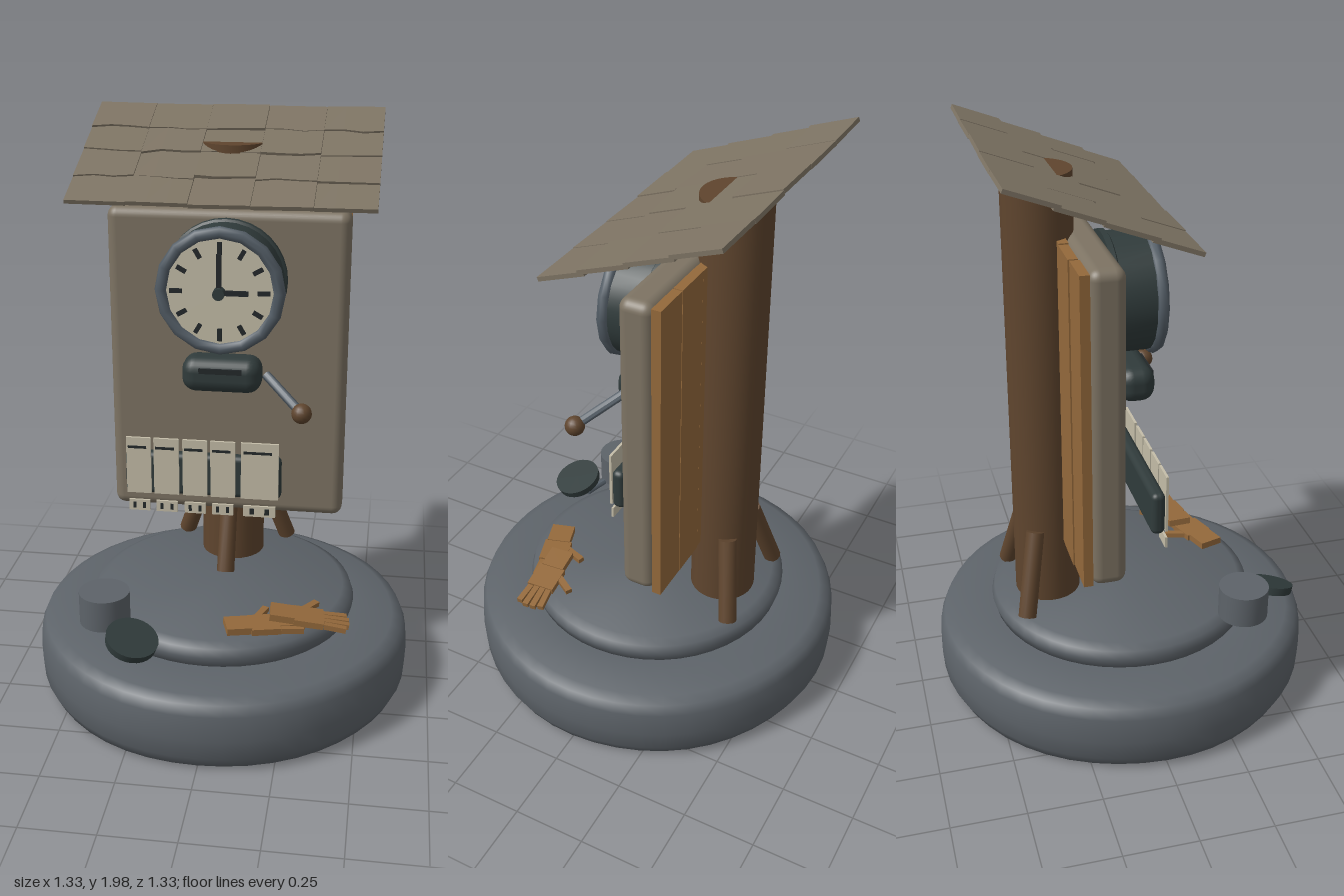
import * as THREE from 'three';
import { RoundedBoxGeometry } from 'three/addons/geometries/RoundedBoxGeometry.js';
import { toCreasedNormals } from 'three/addons/utils/BufferGeometryUtils.js';

const paint = (name, color) => Object.assign(new THREE.MeshStandardMaterial({ color }), { name });
const V = (x, y, z) => new THREE.Vector3(x, y, z);

export function createModel() {
  const slate = paint('slate grey', 0x5d6369);
  const stone = paint('weathered board', 0x7d7363);
  const timber = paint('dark timber', 0x5f452e);
  const plank = paint('light timber', 0x94693b);
  const iron = paint('dark iron', 0x303b3b);
  const rim = paint('rim steel', 0x535d66);
  const cream = paint('cream', 0xc4bda8);
  const ink = paint('ink', 0x23282a);

  const model = new THREE.Group();
  model.name = 'clockStand';
  const add = (name, geo, mat, x = 0, y = 0, z = 0, parent = model) => {
    const m = new THREE.Mesh(geo, mat);
    m.name = name;
    m.position.set(x, y, z);
    parent.add(m);
    return m;
  };
  const box = (w, h, d) => new THREE.BoxGeometry(w, h, d);
  const rod = (name, a, b, r, mat, sides = 12) => {
    const m = add(name, toCreasedNormals(new THREE.CylinderGeometry(r, r, a.distanceTo(b), sides), 0.9), mat);
    m.position.copy(a).add(b).multiplyScalar(0.5);
    m.quaternion.setFromUnitVectors(V(0, 1, 0), b.clone().sub(a).normalize());
    return m;
  };
  let seed = 7;
  const rand = () => (seed = (seed * 16807) % 2147483647) / 2147483647 - 0.5;

  // Two soft-edged round stones, slightly uneven
  const disc = (name, pts, wobble) => {
    const geo = new THREE.LatheGeometry(pts.map(p => new THREE.Vector2(...p)), 48);
    const p = geo.attributes.position;
    for (let i = 0; i < p.count; i++) {
      const a = Math.atan2(p.getZ(i), p.getX(i));
      const k = 1 + wobble * (Math.sin(3 * a + 1) + 0.6 * Math.sin(7 * a));
      p.setX(i, p.getX(i) * k);
      p.setZ(i, p.getZ(i) * k);
    }
    geo.computeVertexNormals();
    return add(name, toCreasedNormals(geo, 0.9), slate);
  };
  disc('base', [[0, 0.01], [0.6, 0.01], [0.64, 0.02], [0.66, 0.06], [0.665, 0.13], [0.66, 0.22],
    [0.645, 0.255], [0.61, 0.27], [0.47, 0.278], [0, 0.278]], 0.003);
  disc('step', [[0, 0.27], [0.43, 0.27], [0.46, 0.285], [0.47, 0.32], [0.46, 0.35], [0.43, 0.365], [0, 0.365]], 0.001);

  // Post with three braces
  rod('post', V(0, 0.36, -0.27), V(0, 1.9, -0.27), 0.115, timber, 32);
  for (let i = 0; i < 3; i++) {
    const a = i * Math.PI * 2 / 3;
    const at = (r, y) => V(Math.sin(a) * r, y, -0.27 + Math.cos(a) * r);
    rod('brace', at(0.225, 0.37), at(0.115, 0.65), 0.032, timber);
  }

  // Board with planks behind it
  add('board', new RoundedBoxGeometry(0.825, 1.1, 0.117, 4, 0.035), stone, 0, 1.15, -0.139);
  for (let i = 0; i < 6; i++) {
    add('backPlank', box(0.134, 1.09 + rand() * 0.015, 0.032), plank, -0.342 + i * 0.137, 1.15, -0.214 + rand() * 0.006);
  }

  // Shingled sloping roof
  const roof = new THREE.Group();
  roof.name = 'roof';
  roof.position.set(0, 1.87, -0.167);
  roof.rotation.x = Math.atan2(0.235, 0.575);
  model.add(roof);
  for (let r = 0; r < 4; r++) for (let c = 0; c < 5; c++) {
    const geo = new THREE.BoxGeometry(0.199, 0.014, 0.165, 3, 1, 1);
    const p = geo.attributes.position;
    const ragged = [0, 1, 2, 3].map(() => rand() * 0.022);
    for (let i = 0; i < p.count; i++) {
      const k = Math.round((p.getX(i) / 0.199 + 0.5) * 3);
      if (p.getZ(i) > 0 && r < 3) p.setZ(i, p.getZ(i) + ragged[k]);
    }
    geo.computeVertexNormals();
    const t = add('shingle', geo, stone, (c - 2) * 0.2, rand() * 0.004, (r - 1.5) * 0.153, roof);
    t.rotation.set(-0.035, 0, rand() * 0.03);
  }

  // Clock drum, rim, dial, marks and hands
  const clock = new THREE.Group();
  clock.name = 'clock';
  clock.position.set(0, 1.47, 0);
  model.add(clock);
  const drumProfile = [[0, -0.065], [0.208, -0.065], [0.208, -0.045], [0.2, -0.04], [0.2, 0.085], [0, 0.085]];
  const turn = (pts, n) => toCreasedNormals(new THREE.LatheGeometry(pts.map(p => new THREE.Vector2(...p)), n).rotateX(Math.PI / 2), 0.6);
  // Rotating the lathe axis from +y to +z keeps faces outward
  add('drum', turn(drumProfile, 32), iron, 0, 0, 0, clock);
  add('rim', new THREE.TorusGeometry(0.195, 0.021, 8, 16), rim, 0, 0, 0.092, clock);
  add('dial', new THREE.CylinderGeometry(0.182, 0.182, 0.009, 32).rotateX(Math.PI / 2), cream, 0, 0, 0.094, clock);
  for (let i = 0; i < 12; i++) {
    const a = i * Math.PI / 6;
    const m = add('hourMark', box(0.015, i % 3 ? 0.035 : 0.042, 0.006), ink, Math.sin(a) * 0.145, Math.cos(a) * 0.145, 0.101, clock);
    m.rotation.z = -a;
  }
  add('minuteHand', box(0.017, 0.14, 0.008), ink, 0, 0.06, 0.116, clock);
  add('hourHand', box(0.1, 0.017, 0.008), ink, 0.045, 0, 0.111, clock);
  add('hub', new THREE.CylinderGeometry(0.02, 0.02, 0.035, 12).rotateX(Math.PI / 2), iron, 0, 0, 0.118, clock);

  // Slot housing and lever
  add('slotHousing', new RoundedBoxGeometry(0.27, 0.122, 0.125, 3, 0.048), iron, 0, 1.17, 0.032);
  add('slot', box(0.145, 0.018, 0.008), ink, 0, 1.193, 0.093);
  rod('lever', V(0.15, 1.173, 0.045), V(0.28, 1.085, 0.16), 0.016, rim, 10);
  add('leverKnob', new THREE.SphereGeometry(0.034, 16, 12), timber, 0.28, 1.085, 0.16);

  // Card rack with tickets and small tags
  add('cardRack', new RoundedBoxGeometry(0.545, 0.155, 0.048, 3, 0.02), iron, -0.065, 0.798, 0.047);
  const cards = [[-0.287, 0.086], [-0.19, 0.088], [-0.09, 0.086], [0.007, 0.086], [0.135, 0.13]];
  for (const [x, w] of cards) {
    add('card', box(w, 0.208, 0.009), cream, x, 0.831, 0.076);
    add('cardLine', box(w * 0.75, 0.009, 0.004), ink, x - w * 0.05, 0.9, 0.081);
    add('tag', box(w * 0.86, 0.04, 0.008), cream, x, 0.68, 0.077);
    for (const s of [-1, 1]) add('tagMark', box(w * 0.12, 0.022, 0.004), ink, x + s * w * 0.2, 0.68, 0.081);
  }

  // Tin and its loose lid
  add('tin', toCreasedNormals(new THREE.CylinderGeometry(0.086, 0.086, 0.112, 28), 0.9), slate, -0.36, 0.425, 0.35);
  const lid = add('lid', toCreasedNormals(new THREE.CylinderGeometry(0.089, 0.086, 0.028, 28), 0.9), iron, -0.24, 0.38, 0.487);
  lid.rotation.set(0.22, 0, -0.28);
  rod('lidHinge', V(-0.28, 0.375, 0.39), V(-0.2, 0.365, 0.42), 0.012, rim, 8);

  // Pair of work gloves, one lying over the other
  const glove = (x, y, z, turnY, drop) => {
    const g = new THREE.Group();
    g.name = 'glove';
    g.position.set(x, y, z);
    g.rotation.set(0, turnY, drop);
    model.add(g);
    add('cuff', box(0.085, 0.024, 0.085), plank, -0.05, 0.002, 0, g);
    add('palm', box(0.1, 0.022, 0.1), plank, 0.04, 0, 0, g);
    for (let i = 0; i < 4; i++) {
      const f = add('finger', box([0.08, 0.095, 0.095, 0.075][i], 0.018, 0.021), plank, 0.13, -0.002, -0.038 + i * 0.0255, g);
      f.rotation.y = (1.5 - i) * 0.06;
    }
    const thumb = add('thumb', box(0.075, 0.018, 0.023), plank, 0.045, 0, -0.075, g);
    thumb.rotation.y = 0.95;
  };
  glove(0.145, 0.385, 0.345, 0.3, -0.04);
  glove(0.29, 0.398, 0.284, 0.07, -0.13);

  return model;
}
